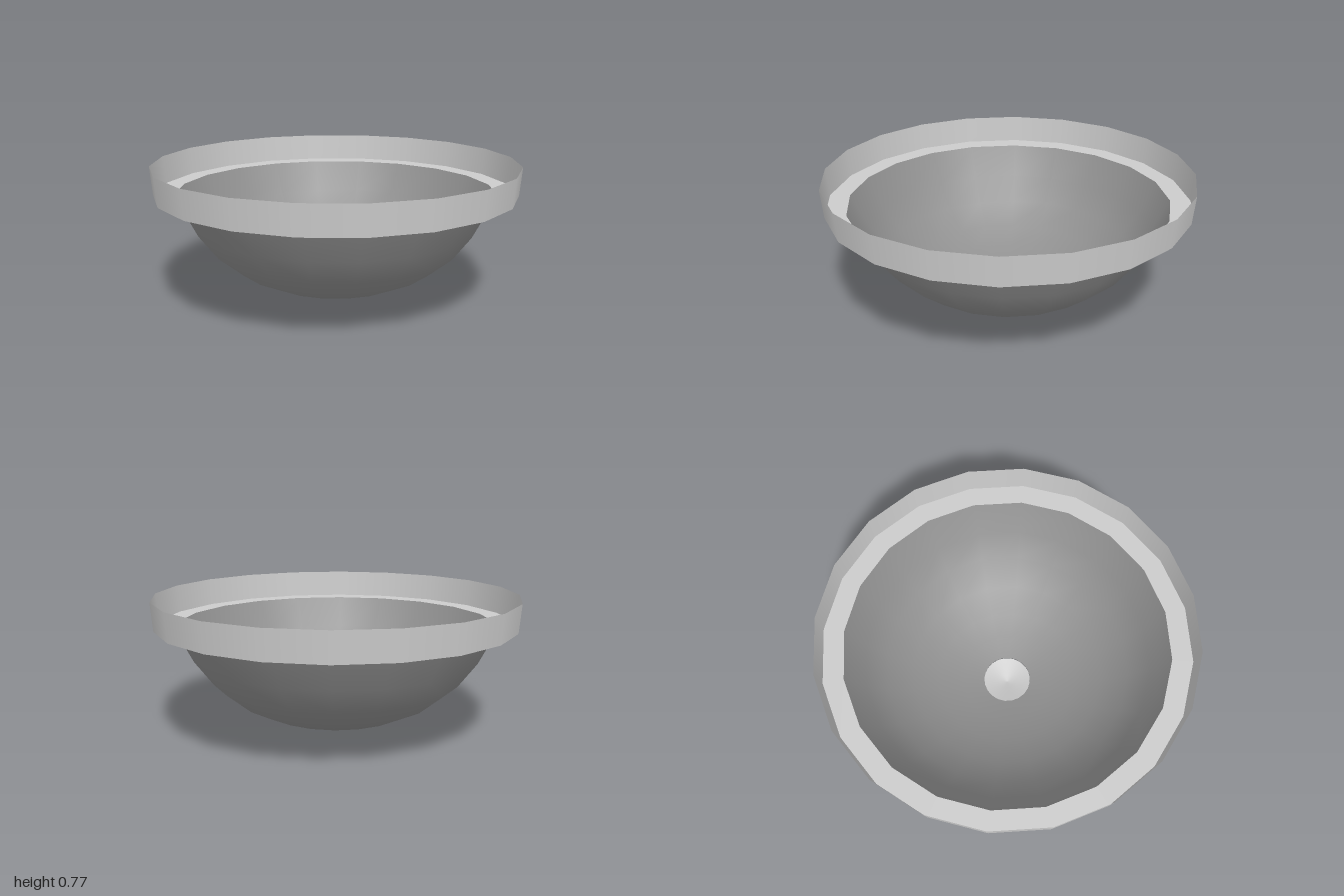
import * as THREE from 'three';

const SIDES = 20;

// Thin surface of revolution from [radius, height] points
function revolve(name, points, sides, color) {
  const profile = points.map(([r, y]) => new THREE.Vector2(r, y));
  const material = new THREE.MeshStandardMaterial({ color, side: THREE.DoubleSide });
  const mesh = new THREE.Mesh(new THREE.LatheGeometry(profile, sides), material);
  mesh.name = name;
  return mesh;
}

export function createModel() {
  const model = new THREE.Group();
  model.name = 'basin';

  // Rounded bowl, open at the drain
  model.add(revolve('bowl', [
    [0.137, 0.048], [0.26, 0.072], [0.4, 0.12], [0.545, 0.19],
    [0.685, 0.305], [0.787, 0.44], [0.877, 0.615],
  ], SIDES, 0x909090));

  // Flat ledge around the mouth of the bowl
  model.add(revolve('ledge', [[0.988, 0.615], [0.877, 0.615]], SIDES, 0xcccccc));

  // Slightly flared upright rim
  model.add(revolve('rim', [[0.988, 0.615], [1, 0.77]], SIDES, 0xcccccc));

  // Shallow conical drain just under the bowl
  model.add(revolve('drain', [[0, 0], [0.04, 0.008], [0.137, 0.04]], 32, 0xcccccc));

  return model;
}
